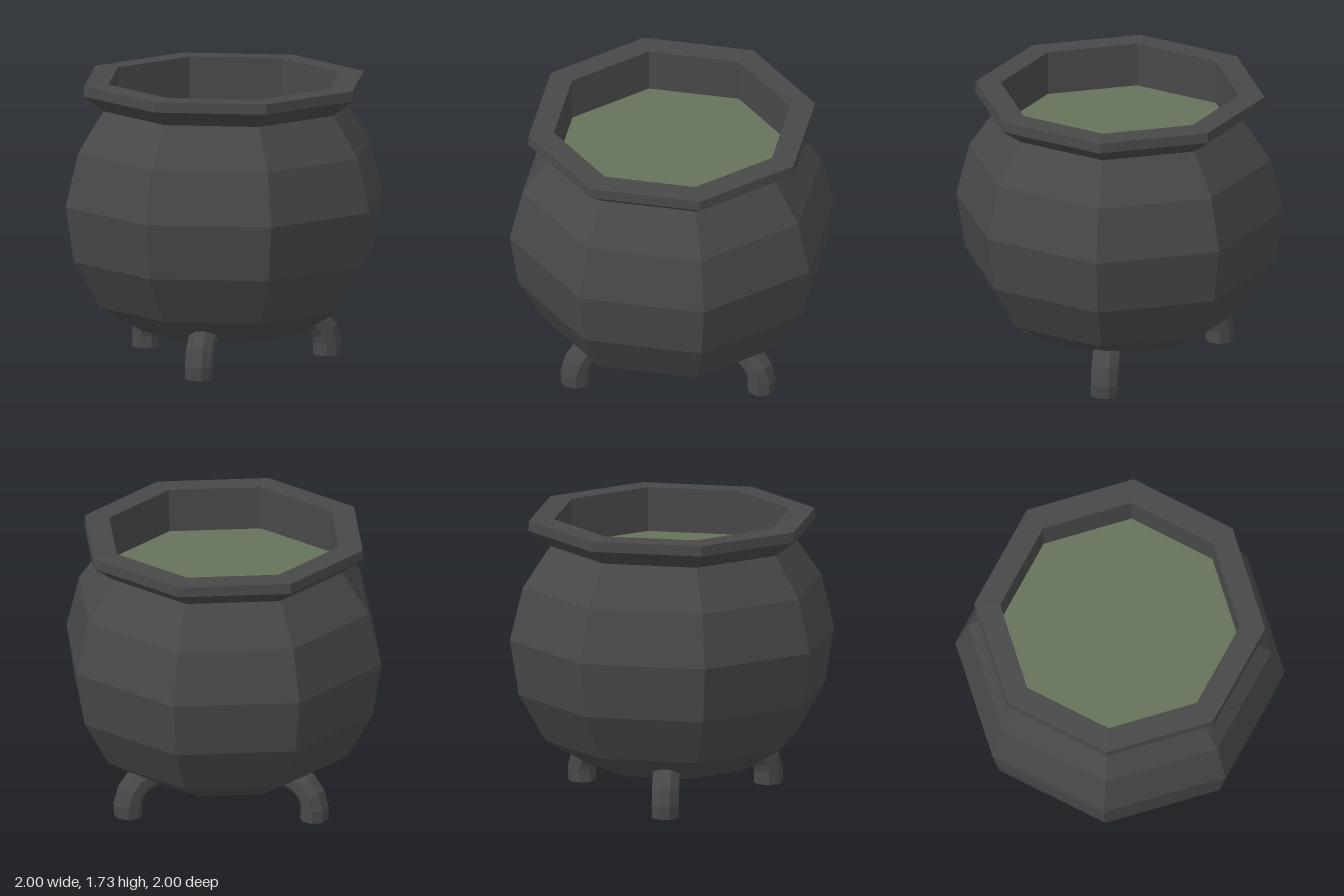
import * as THREE from 'three';

export function createModel() {
  const model = new THREE.Group();
  const iron = new THREE.MeshStandardMaterial({ color: 0x484848, flatShading: true });
  const brew = new THREE.MeshStandardMaterial({ color: 0x66725c, flatShading: true });

  // Eight-sided pot: belly, neck, flared rim and inner wall in one profile
  const profile = [
    [0, 0.115], [0.51, 0.2], [0.78, 0.36], [0.945, 0.65], [1, 0.99],
    [0.92, 1.315], [0.75, 1.565], [0.887, 1.665], [0.882, 1.727],
    [0.728, 1.73], [0.725, 1.44],
  ].map(([r, y]) => new THREE.Vector2(r, y));
  const pot = new THREE.Mesh(new THREE.LatheGeometry(profile, 8), iron);
  pot.name = 'pot';
  model.add(pot);

  // Liquid surface
  const liquid = new THREE.Mesh(new THREE.CircleGeometry(0.725, 8).rotateX(-Math.PI / 2), brew);
  liquid.name = 'liquid';
  liquid.position.y = 1.46;
  model.add(liquid);

  // Curved leg: octagonal section, flat side outward, swept into the belly
  const section = new THREE.Shape(Array.from({ length: 8 }, (_, i) => {
    const a = (i + 0.5) * Math.PI / 4;
    return new THREE.Vector2(0.087 * Math.cos(a), 0.087 * Math.sin(a));
  }));
  const path = new THREE.CatmullRomCurve3([
    [0.65, 0], [0.65, 0.1], [0.61, 0.18], [0.55, 0.225], [0.44, 0.255],
  ].map(([x, y]) => new THREE.Vector3(x, y, 0)));
  const legGeometry = new THREE.ExtrudeGeometry(section, {
    steps: 5, bevelEnabled: false, extrudePath: path,
  });
  // Level the foot with the ground
  const p = legGeometry.attributes.position;
  for (let i = 0; i < p.count; i++) if (p.getY(i) < 0.02) p.setY(i, 0);

  for (let i = 0; i < 3; i++) {
    const leg = new THREE.Mesh(legGeometry, iron);
    leg.name = 'leg' + (i + 1);
    leg.rotation.y = i * Math.PI * 2 / 3;
    model.add(leg);
  }
  return model;
}
